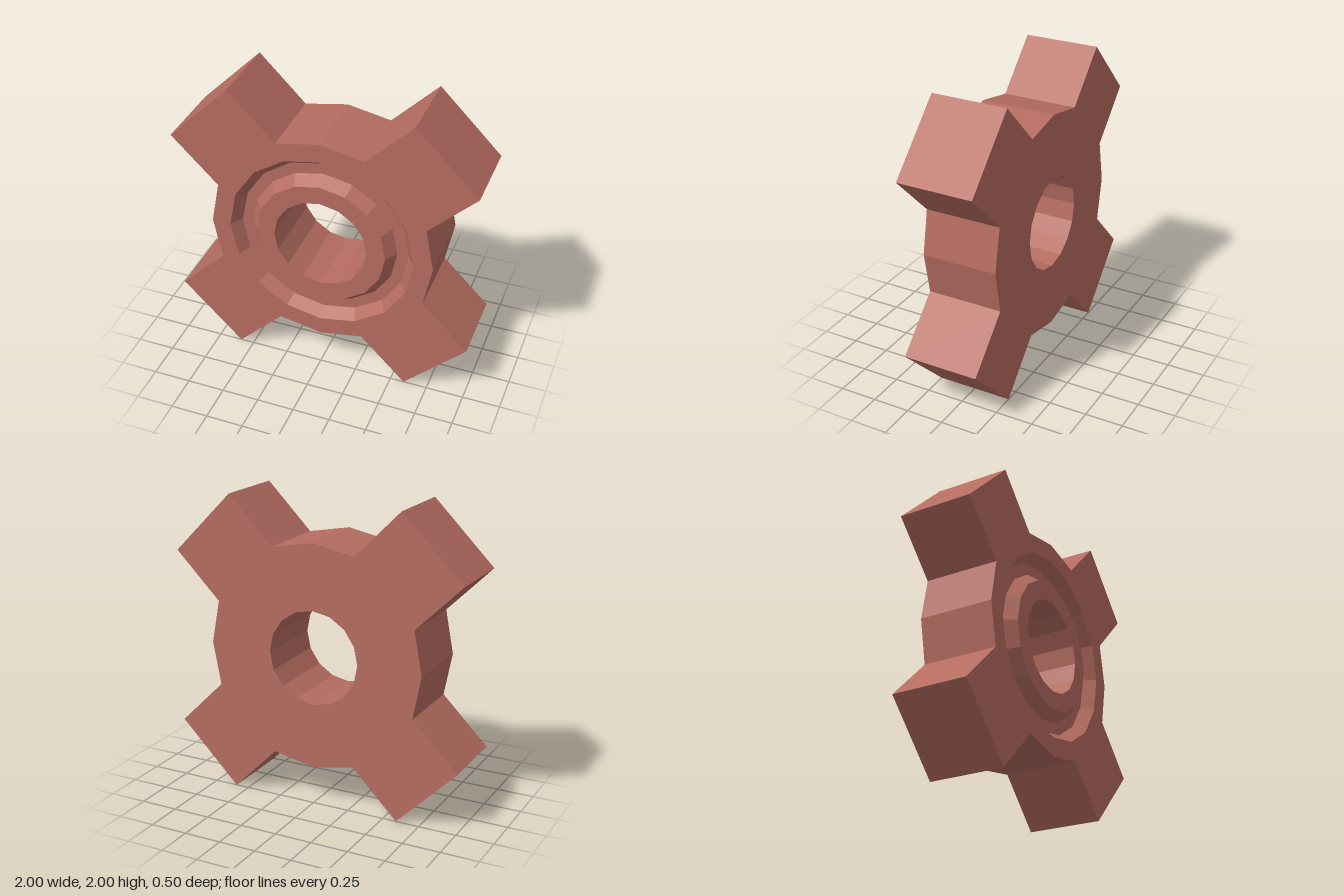
import * as THREE from 'three';

const SIDES = 16;
const FRONT = 0.25, BACK = -0.25, GROOVE = 0.075;

// regular polygon with a corner straight up, used for the round opening
function ringPath(radius) {
  const points = [];
  for (let i = 0; i < SIDES; i++) {
    const a = (i / SIDES) * Math.PI * 2;
    points.push(new THREE.Vector2(Math.sin(a) * radius, Math.cos(a) * radius));
  }
  return new THREE.Path(points);
}

export function createModel() {
  const model = new THREE.Group();
  model.name = 'fourArmHub';
  const clay = new THREE.MeshStandardMaterial({ color: 0xb56c60, flatShading: true });
  clay.name = 'clayRed';

  // cross-shaped plate: one quarter of the outline, turned four times
  const quarter = [[0, 0.745], [0.286, 0.69], [0.592, 0.998], [0.998, 0.592], [0.69, 0.286]];
  const outline = [];
  for (let q = 0; q < 4; q++) {
    for (const [x, y] of quarter) {
      outline.push(new THREE.Vector2(x, y).rotateAround(new THREE.Vector2(), -q * Math.PI / 2));
    }
  }
  const shape = new THREE.Shape(outline);
  shape.holes.push(ringPath(0.62));
  const plateGeometry = new THREE.ExtrudeGeometry(shape, { depth: FRONT - BACK, bevelEnabled: false });
  plateGeometry.translate(0, 1, BACK);
  const plate = new THREE.Mesh(plateGeometry, clay);
  plate.name = 'armPlate';
  model.add(plate);

  // hub: sloped groove on the front, raised collar, through bore and flat back
  const profile = [
    [0.62, FRONT], [0.565, FRONT - GROOVE], [0.49, FRONT - GROOVE], [0.435, FRONT],
    [0.312, FRONT], [0.312, BACK], [0.62, BACK],
  ].map(([r, y]) => new THREE.Vector2(r, y));
  const hubGeometry = new THREE.LatheGeometry(profile, SIDES);
  hubGeometry.rotateX(Math.PI / 2);
  hubGeometry.translate(0, 1, 0);
  const hub = new THREE.Mesh(hubGeometry, clay);
  hub.name = 'groovedHub';
  model.add(hub);

  return model;
}
